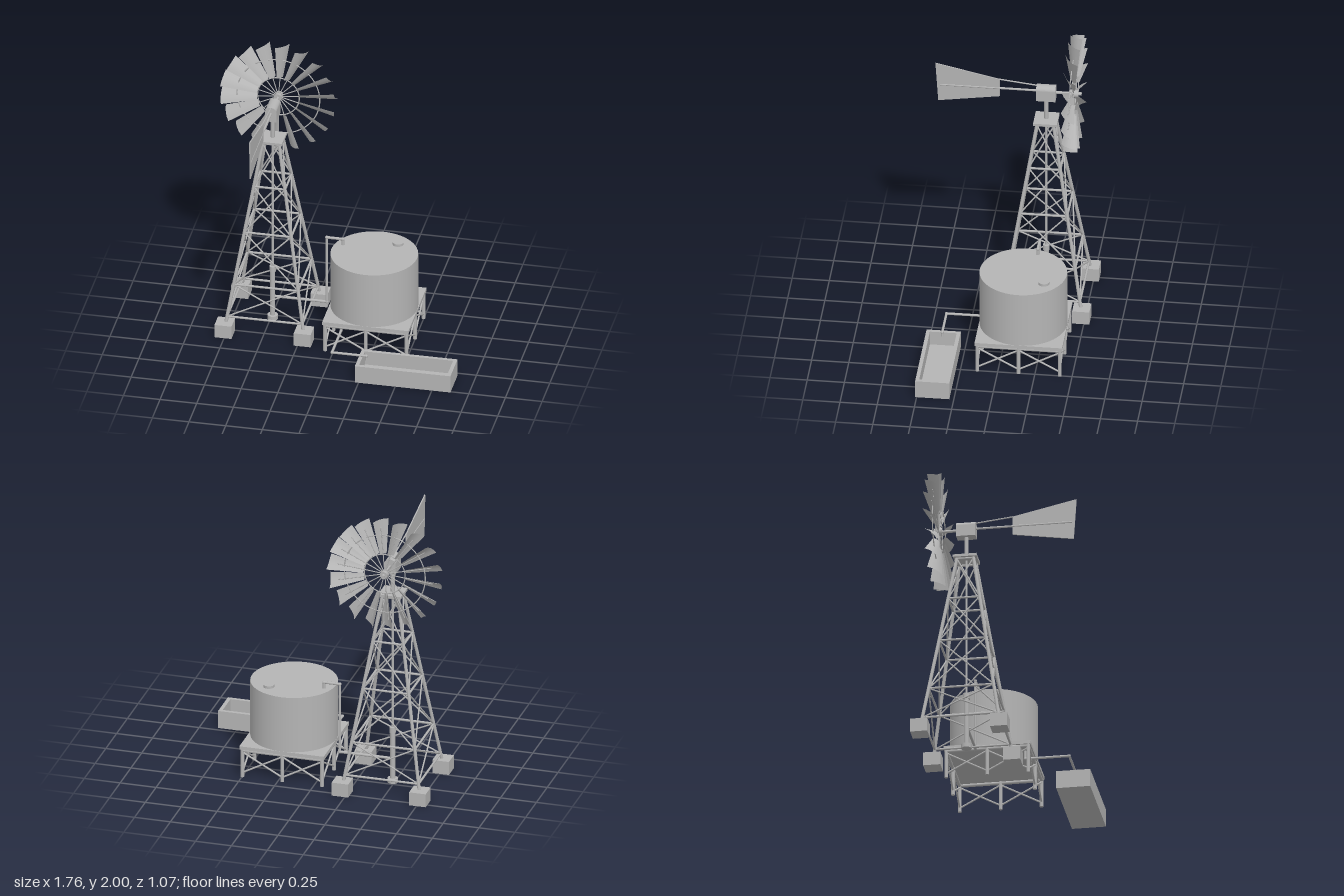
import * as THREE from 'three';

const steel = new THREE.MeshStandardMaterial({ color: 0xb4b4b4 });
steel.name = 'galvanised grey';
const sheet = steel;
sheet.side = THREE.DoubleSide;
const V = (x, y, z) => new THREE.Vector3(x, y, z);

function add(parent, name, geometry, x = 0, y = 0, z = 0) {
  const mesh = new THREE.Mesh(geometry, steel);
  mesh.name = name;
  mesh.position.set(x, y, z);
  parent.add(mesh);
  return mesh;
}
const box = (p, name, w, h, d, x, y, z) => add(p, name, new THREE.BoxGeometry(w, h, d), x, y, z);
const post = (p, name, r, y0, y1, x, z, sides = 16) =>
  add(p, name, new THREE.CylinderGeometry(r, r, y1 - y0, sides), x, (y0 + y1) / 2, z);

// Round bar between two points
function bar(parent, name, a, b, r, sides = 8) {
  const mesh = add(parent, name, new THREE.CylinderGeometry(r, r, a.distanceTo(b), sides));
  mesh.position.copy(a).lerp(b, 0.5);
  mesh.quaternion.setFromUnitVectors(V(0, 1, 0), b.clone().sub(a).normalize());
  return mesh;
}

// Straight pipe runs with a ball elbow at each corner
function pipe(parent, name, points, r) {
  for (let i = 1; i < points.length; i++) {
    bar(parent, name, points[i - 1], points[i], r, 12);
    if (i < points.length - 1) {
      add(parent, name + 'Elbow', new THREE.SphereGeometry(r * 1.25, 12, 8)).position.copy(points[i]);
    }
  }
}

function group(parent, name, x, y, z) {
  const g = new THREE.Group();
  g.name = name;
  g.position.set(x, y, z);
  parent.add(g);
  return g;
}

const CORNERS = [[-1, -1], [1, -1], [1, 1], [-1, 1]];

function buildTower(root) {
  const tower = group(root, 'tower', -0.487, 0, -0.21);
  const half = (y) => THREE.MathUtils.mapLinear(y, 0.09, 1.39, 0.263, 0.054);
  const at = ([sx, sz], y) => V(sx * half(y), y, sz * half(y));
  const levels = [0.13, 0.36, 0.735, 1.065, 1.375];
  CORNERS.forEach((c, i) => {
    const next = CORNERS[(i + 1) % 4];
    box(tower, 'footing', 0.116, 0.095, 0.116, c[0] * 0.27, 0.0475, c[1] * 0.27);
    bar(tower, 'towerLeg', at(c, 0.08), at(c, 1.39), 0.012);
    levels.forEach((y, k) => {
      bar(tower, 'girt', at(c, y), at(next, y), 0.008);
      if (k === levels.length - 1) return;
      bar(tower, 'crossBrace', at(c, y), at(next, levels[k + 1]), 0.0055);
      bar(tower, 'crossBrace', at(next, y), at(c, levels[k + 1]), 0.0055);
    });
  });
  box(tower, 'towerCap', 0.16, 0.018, 0.16, 0, 1.391, 0);
  // Pump and its rod
  post(tower, 'pumpBase', 0.036, 0, 0.03, 0, 0);
  post(tower, 'pumpBarrel', 0.017, 0.03, 0.37, 0, 0);
  post(tower, 'pumpHead', 0.023, 0.365, 0.405, 0, 0);
  post(tower, 'pumpRod', 0.008, 0.4, 1.39, 0, 0, 10);
  post(tower, 'mast', 0.014, 1.4, 1.56, 0, 0);
}

// Tapered, pitched and slightly cupped wheel blade pointing up
function bladeGeometry() {
  const g = new THREE.PlaneGeometry(1, 1, 4, 1);
  const p = g.attributes.position;
  const pitch = THREE.MathUtils.degToRad(48);
  for (let i = 0; i < p.count; i++) {
    const u = p.getX(i), v = p.getY(i) + 0.5;
    const width = THREE.MathUtils.lerp(0.052, 0.122, v);
    const c = u * width, n = 0.12 * width * (0.6 - 4 * u * u);
    const x = c * Math.cos(pitch) + n * Math.sin(pitch);
    const r = THREE.MathUtils.lerp(0.145, 0.393, v);
    p.setXYZ(i, x, Math.sqrt(r * r - x * x), n * Math.cos(pitch) - c * Math.sin(pitch));
  }
  g.computeVertexNormals();
  return g;
}

function buildHead(root) {
  const head = group(root, 'head', -0.487, 1.608, -0.21);
  // Gearbox with a domed top
  const profile = new THREE.Shape();
  profile.moveTo(-0.038, -0.055);
  profile.lineTo(0.038, -0.055);
  profile.lineTo(0.038, 0.022);
  profile.absellipse(0, 0.022, 0.038, 0.03, 0, Math.PI, false);
  profile.closePath();
  add(head, 'gearbox', new THREE.ExtrudeGeometry(profile, { depth: 0.13, bevelEnabled: false, curveSegments: 16 }), 0, 0, -0.065);
  bar(head, 'axle', V(0, 0, -0.06), V(0, 0, -0.23), 0.01, 12);

  // Wheel
  const wheel = group(head, 'wheel', 0, 0, -0.185);
  wheel.rotation.z = THREE.MathUtils.degToRad(-4.5);
  bar(wheel, 'hub', V(0, 0, 0.022), V(0, 0, -0.03), 0.026, 20);
  bar(wheel, 'hubCap', V(0, 0, -0.03), V(0, 0, -0.052), 0.012, 16);
  for (const r of [0.142, 0.282]) {
    add(wheel, 'wheelRing', new THREE.TorusGeometry(r, 0.0042, 6, 72));
  }
  const blade = bladeGeometry();
  for (let i = 0; i < 18; i++) {
    const arm = group(wheel, 'wheelArm', 0, 0, 0);
    arm.rotation.z = (i / 18) * Math.PI * 2;
    add(arm, 'blade', blade);
    bar(arm, 'spoke', V(0, 0.02, 0), V(0, 0.335, 0), 0.0035, 6);
  }

  // Tail
  bar(head, 'tailBoom', V(0, 0.006, 0.06), V(0, 0.006, 0.715), 0.0075, 10);
  bar(head, 'tailStay', V(0, 0.046, 0.06), V(0, 0.075, 0.315), 0.005);
  const vane = new THREE.Shape([[-0.313, -0.056], [-0.313, 0.076], [-0.745, 0.172], [-0.726, -0.118]]
    .map(([x, y]) => new THREE.Vector2(x, y)));
  const tail = add(head, 'tailVane', new THREE.ExtrudeGeometry(vane, { depth: 0.008, bevelEnabled: false }), 0.004, 0, 0);
  tail.rotation.y = Math.PI / 2;
  tail.position.x = -0.004;
}

function buildTank(root) {
  const stand = group(root, 'tankStand', 0.221, 0, -0.14);
  box(stand, 'deck', 0.588, 0.024, 0.588, 0, 0.215, 0);
  const s = 0.277;
  CORNERS.forEach(([x, z], i) => {
    const [nx, nz] = CORNERS[(i + 1) % 4];
    const on = (t, y) => V(s * (x + (nx - x) * t), y, s * (z + (nz - z) * t));
    bar(stand, 'edgeBeam', on(0, 0.193), on(1, 0.193), 0.012);
    for (const t of [0, 0.5]) {
      bar(stand, 'standLeg', on(t, 0), on(t, 0.205), 0.013, 10);
      bar(stand, 'standBrace', on(t, 0.03), on(t + 0.5, 0.18), 0.0065);
      bar(stand, 'standBrace', on(t, 0.18), on(t + 0.5, 0.03), 0.0065);
    }
  });
  post(stand, 'tank', 0.293, 0.227, 0.625, 0, 0, 64);
  post(stand, 'tankHatch', 0.037, 0.62, 0.643, 0.13, -0.153, 24);
}

function buildTrough(root) {
  const trough = group(root, 'trough', 0.551, 0, 0.395);
  const w = 0.652, d = 0.23, h = 0.125, t = 0.025;
  box(trough, 'troughFloor', w, t, d, 0, t / 2, 0);
  for (const side of [-1, 1]) {
    box(trough, 'troughLongWall', w, h - t, t, 0, (h + t) / 2, side * (d - t) / 2);
    box(trough, 'troughEndWall', t, h - t, d - 2 * t, side * (w - t) / 2, (h + t) / 2, 0);
  }
}

export function createModel() {
  const root = new THREE.Group();
  root.name = 'windPump';
  buildTower(root);
  buildHead(root);
  buildTank(root);
  buildTrough(root);
  // Pump to tank, then tank to trough
  pipe(root, 'fillPipe', [V(-0.487, 0.172, -0.21), V(-0.118, 0.172, -0.21), V(-0.118, 0.668, -0.21),
    V(-0.008, 0.668, -0.21), V(-0.008, 0.615, -0.21)], 0.0095);
  pipe(root, 'drainPipe', [V(0.045, 0.21, 0.1), V(0.045, 0.146, 0.1), V(0.045, 0.146, 0.398),
    V(0.28, 0.146, 0.398), V(0.28, 0.115, 0.398)], 0.0085);
  return root;
}
